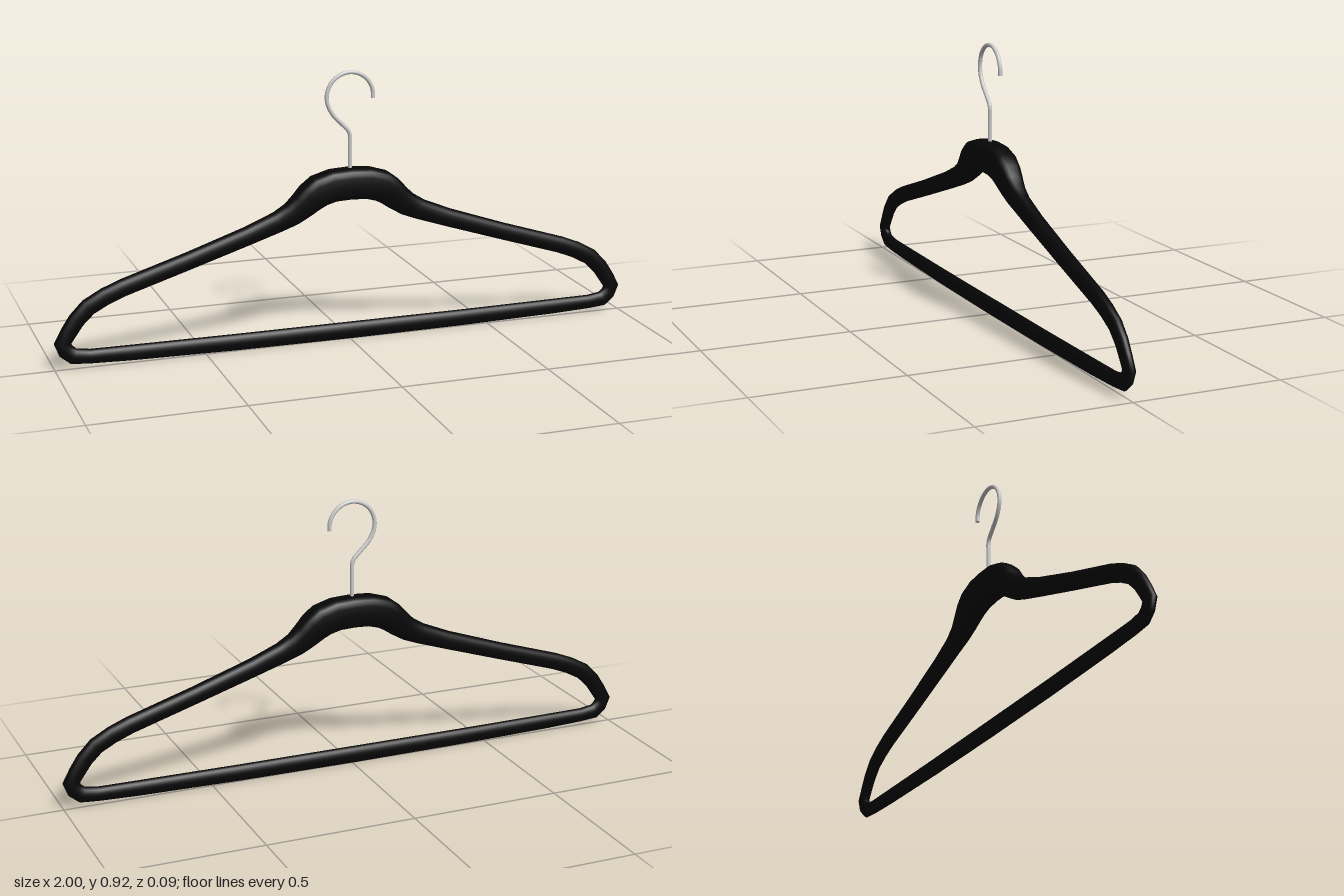
import * as THREE from 'three';

// Half of the frame, from top centre round to bottom centre:
// [x, y, half thickness in the frame plane, half depth in z]
const HALF = [
  [0, 0.539, 0.053, 0.043], [0.06, 0.536, 0.053, 0.043], [0.108, 0.522, 0.053, 0.042],
  [0.138, 0.502, 0.05, 0.04], [0.168, 0.476, 0.045, 0.036], [0.202, 0.451, 0.04, 0.031],
  [0.25, 0.428, 0.035, 0.027], [0.35, 0.391, 0.031, 0.025], [0.55, 0.325, 0.029, 0.023],
  [0.77, 0.256, 0.029, 0.021], [0.83, 0.232, 0.029, 0.02], [0.885, 0.202, 0.029, 0.019],
  [0.925, 0.162, 0.028, 0.018], [0.952, 0.122, 0.027, 0.017], [0.972, 0.088, 0.028, 0.017],
  [0.961, 0.062, 0.027, 0.017], [0.938, 0.043, 0.027, 0.017], [0.885, 0.037, 0.024, 0.017],
  [0.75, 0.034, 0.026, 0.017], [0.4, 0.03, 0.028, 0.017], [0, 0.029, 0.029, 0.017],
];

// Closed loop of rounded cross-sections, boxier where the frame is deeper
function sweepLoop(stations, sides) {
  const n = stations.length, pos = [], idx = [];
  stations.forEach(([x, y, r, d], i) => {
    const a = stations[(i + n - 1) % n], b = stations[(i + 1) % n];
    const before = new THREE.Vector2(x - a[0], y - a[1]).normalize();
    const t = new THREE.Vector2(b[0] - x, b[1] - y).normalize().add(before).normalize();
    const power = THREE.MathUtils.mapLinear(d, 0.017, 0.043, 0.95, 0.6);
    const soft = (v) => Math.sign(v) * Math.abs(v) ** power;
    for (let j = 0; j < sides; j++) {
      const ang = (j / sides) * Math.PI * 2;
      const u = soft(Math.cos(ang)) * r;
      pos.push(x - t.y * u, y + t.x * u, soft(Math.sin(ang)) * d);
      const k = (j + 1) % sides, p = i * sides, q = ((i + 1) % n) * sides;
      idx.push(p + j, p + k, q + j, p + k, q + k, q + j);
    }
  });
  const geo = new THREE.BufferGeometry();
  geo.setAttribute('position', new THREE.Float32BufferAttribute(pos, 3));
  geo.setIndex(idx);
  geo.computeVertexNormals();
  return geo;
}

export function createModel() {
  const group = new THREE.Group();
  const black = new THREE.MeshStandardMaterial({ color: 0x060606 });
  const grey = new THREE.MeshStandardMaterial({ color: 0xcccccc });
  const add = (name, geo, mat) => {
    const mesh = new THREE.Mesh(geo, mat);
    mesh.name = name;
    group.add(mesh);
    return mesh;
  };

  // Frame: shoulders and trouser bar in one loop, mirrored in x
  const mirrored = HALF.slice(1, -1).reverse().map(([x, ...rest]) => [-x, ...rest]);
  add('frame', sweepLoop([...HALF, ...mirrored], 24), black);

  // Hook: straight shank, offset bend and a rounded crook
  const path = [[0, 0.55], [0, 0.62], [0, 0.68], [0, 0.7], [-0.006, 0.716], [-0.03, 0.742], [-0.06, 0.774]];
  for (let i = 0; i <= 10; i++) {
    const a = Math.PI * (1.08 - (i / 10) * 1.12);
    path.push([Math.cos(a) * 0.08, 0.83 + Math.sin(a) * 0.08]);
  }
  const curve = new THREE.CatmullRomCurve3(path.map(([x, y]) => new THREE.Vector3(x, y, 0)));
  add('hook', new THREE.TubeGeometry(curve, 96, 0.007, 12), grey);

  // Flat cap on the hook tip
  const tip = add('hookTip', new THREE.CircleGeometry(0.007, 12), grey);
  tip.position.copy(curve.getPoint(1));
  tip.quaternion.setFromUnitVectors(new THREE.Vector3(0, 0, 1), curve.getTangent(1));

  return group;
}
